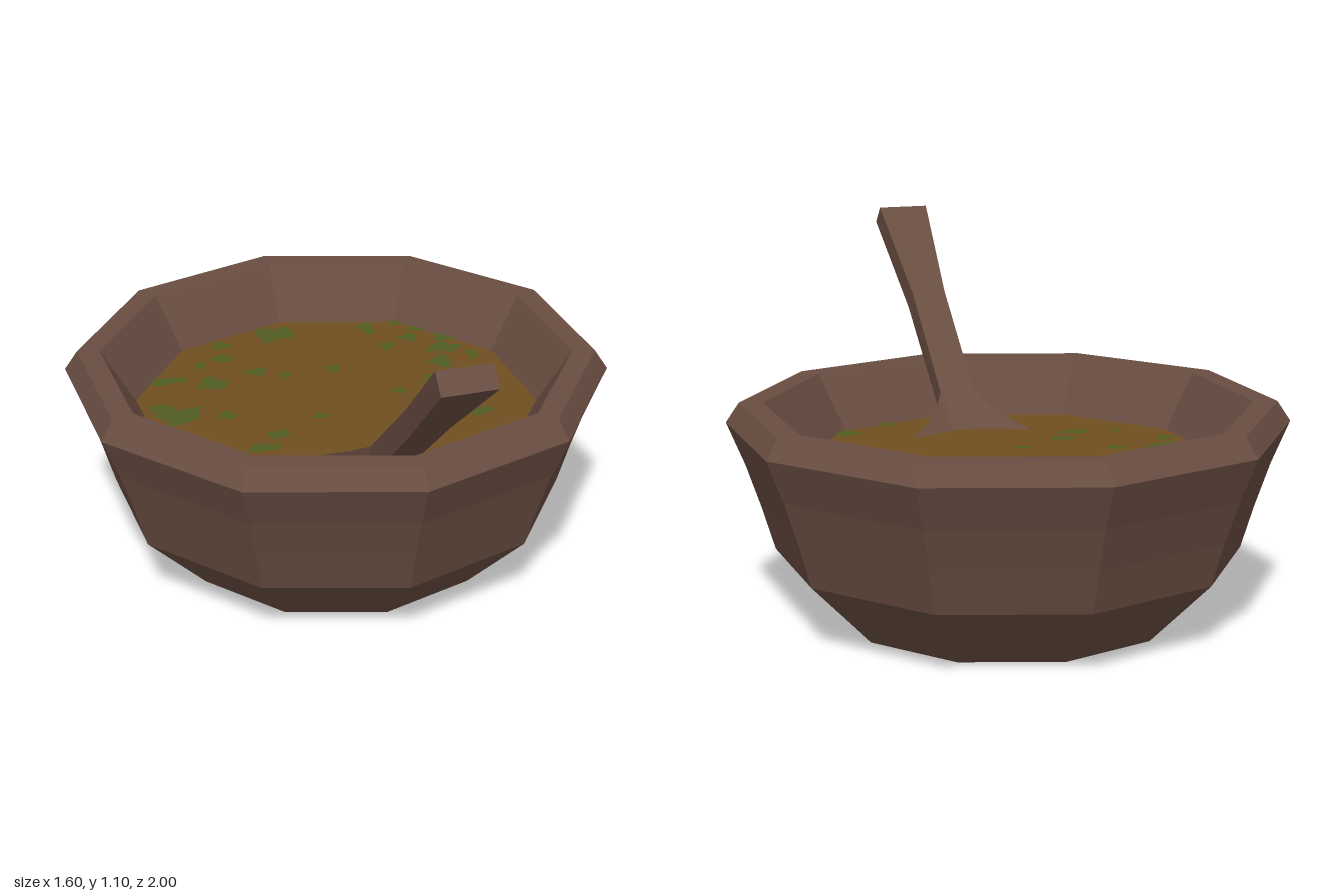
import * as THREE from 'three';
import { mergeGeometries } from 'three/addons/utils/BufferGeometryUtils.js';

const SOUP_Y = 0.48;
const BOWL_Z = -0.163;

// Ten-sided wooden bowl: outside, rim, then inside wall and floor
function bowlGeometry() {
  const profile = [
    [0, 0], [0.5, 0], [0.7, 0.2], [0.74, 0.33], [0.785, 0.46], [0.84, 0.59],
    [0.8, 0.65], [0.73, 0.65], [0.625, SOUP_Y], [0.45, 0.12], [0, 0.12],
  ].map(([r, y]) => new THREE.Vector2(r, y));
  return new THREE.LatheGeometry(profile, 10);
}

// Spoon lofted down its own axis; each section is
// [distance, floor half width, rim half width, rim lift, base half width, x centre]
function spoonGeometry() {
  const sections = [
    [0, 0.06, 0.081, 0, 0.081, -0.01],
    [0.38, 0.04, 0.055, 0, 0.055, -0.01],
    [0.79, 0.04, 0.055, 0, 0.05, -0.006],
    [0.88, 0.045, 0.09, 0.015, 0.052, -0.003],
    [1.0, 0.05, 0.195, 0.042, 0.08, 0],
    [1.2, 0.06, 0.2, 0.03, 0.09, 0],
    [1.32, 0.04, 0.09, 0.02, 0.05, 0],
  ];
  const positions = [];
  const index = [];
  const thick = 0.072;
  for (const [u, floor, rim, lift, base, cx] of sections) {
    const outline = [[rim, lift], [floor, 0], [-floor, 0], [-rim, lift], [-base, -thick], [base, -thick]];
    for (const [x, w] of outline) {
      positions.push(cx + x, 1.1 - 0.655 * u + 0.756 * w, 0.95 - 0.756 * u - 0.655 * w);
    }
  }
  const last = (sections.length - 1) * 6;
  for (let s = 0; s < last; s += 6) {
    for (let i = 0; i < 6; i++) {
      const a = s + i, b = s + (i + 1) % 6;
      index.push(a, b + 6, b, a, a + 6, b + 6);
    }
  }
  for (const [i, j] of [[5, 0], [0, 1], [1, 2], [2, 3]]) {
    index.push(4, i, j, last + 4, last + j, last + i);
  }
  const geometry = new THREE.BufferGeometry();
  geometry.setAttribute('position', new THREE.Float32BufferAttribute(positions, 3));
  geometry.setIndex(index);
  geometry.computeVertexNormals();
  return geometry;
}

// Irregular herb flecks lying on the soup: x, z, radius x, radius z in hundredths
function herbGeometry() {
  const flecks = [
    [-5, -69, 7, 6], [-24, -66, 3, 3], [-26, -56, 4, 3], [-34, -53, 2, 3], [-47, -45, 6, 3],
    [-34, -39, 5, 5], [-18, -43, 4, 3], [-49, -20, 8, 6], [-54, -27, 4, 3], [-35, -16, 3, 3],
    [-54, -8, 4, 3], [-24, 1, 4, 3], [-31, 8, 5, 3], [-43, 6, 2, 2], [26, -64, 3, 5],
    [37, -66, 3, 3], [42, -60, 3, 4], [37, -53, 4, 3], [28, -49, 3, 3], [48, -50, 4, 4],
    [45, -42, 6, 4], [41, -32, 4, 5], [52, -34, 2, 4], [35, -21, 5, 3], [42, -16, 3, 5],
    [40, -5, 3, 6], [40, 5, 4, 3], [31, -8, 4, 2], [21, -16, 3, 2], [6, -38, 3, 3],
    [-10, -38, 2, 2], [-8, -7, 3, 2], [38, 29, 5, 4], [22, 37, 3, 3],
  ];
  return mergeGeometries(flecks.map(([x, z, rx, rz], k) => {
    const g = new THREE.CircleGeometry(1, 9);
    const p = g.attributes.position;
    for (let i = 1; i < p.count; i++) {
      const n = (i - 1) % 9;
      const r = 0.95 + 0.32 * Math.sin(n * 2.4 + k * 1.7);
      p.setXY(i, p.getX(i) * r, p.getY(i) * r);
    }
    g.scale(rx / 100, rz / 100, 1);
    g.rotateX(-Math.PI / 2);
    g.translate(x / 100, SOUP_Y + 0.004, z / 100);
    return g;
  }));
}

export function createModel() {
  const material = (name, color) => {
    const m = new THREE.MeshStandardMaterial({ color, flatShading: true });
    m.name = name;
    return m;
  };
  const wood = material('wood', 0x694d41);
  const broth = material('broth', 0x704f20);
  const herb = material('herb', 0x505d20);

  const group = new THREE.Group();
  group.name = 'soupBowl';
  const add = (name, geometry, mat) => {
    const mesh = new THREE.Mesh(geometry, mat);
    mesh.name = name;
    group.add(mesh);
    return mesh;
  };

  add('bowl', bowlGeometry(), wood).position.z = BOWL_Z;

  // Soup surface, its corners aligned with the bowl
  const soup = new THREE.CircleGeometry(0.627, 10, Math.PI / 2).rotateX(-Math.PI / 2);
  add('soup', soup, broth).position.set(0, SOUP_Y, BOWL_Z);
  add('herbs', herbGeometry(), herb);

  add('spoon', spoonGeometry(), wood);
  return group;
}
